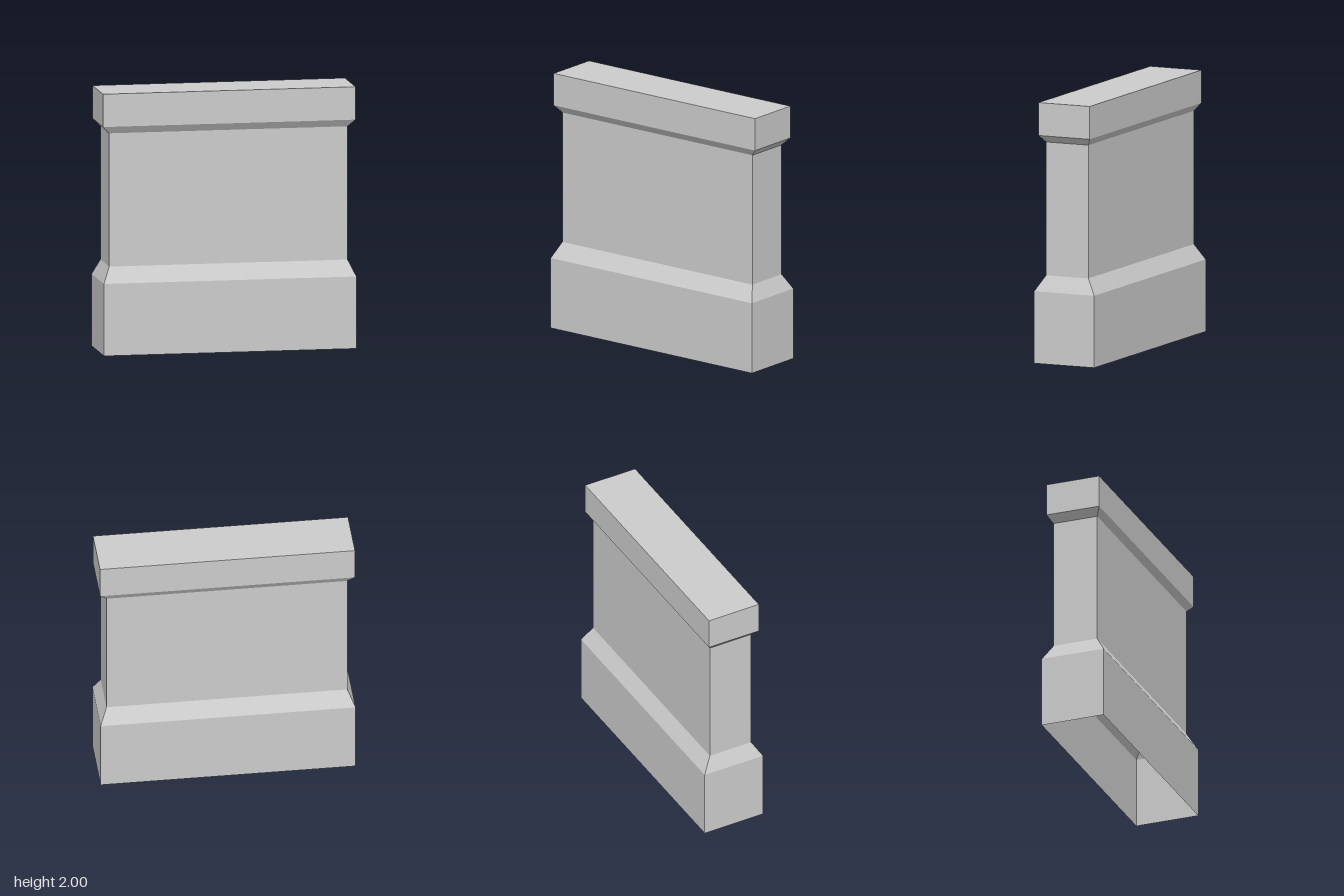
import * as THREE from 'three';

// Four-sided band between two rectangles: [y, halfWidth, halfDepth]
function band([y0, w0, d0], [y1, w1, d1]) {
  const corners = [[-1, 1], [1, 1], [1, -1], [-1, -1]];
  const pos = [];
  for (let i = 0; i < 4; i++) {
    const [ax, az] = corners[i];
    const [bx, bz] = corners[(i + 1) % 4];
    const a = [ax * w0, y0, az * d0], b = [bx * w0, y0, bz * d0];
    const c = [bx * w1, y1, bz * d1], d = [ax * w1, y1, az * d1];
    pos.push(...a, ...b, ...c, ...a, ...c, ...d);
  }
  const geometry = new THREE.BufferGeometry();
  geometry.setAttribute('position', new THREE.Float32BufferAttribute(pos, 3));
  geometry.computeVertexNormals();
  return geometry;
}

export function createModel() {
  const stone = new THREE.MeshStandardMaterial({ color: 0xcccccc, side: THREE.DoubleSide });
  stone.name = 'grey stone';
  const group = new THREE.Group();
  group.name = 'wallSection';
  const add = (name, geometry) => {
    const mesh = new THREE.Mesh(geometry, stone);
    mesh.name = name;
    group.add(mesh);
    return mesh;
  };

  // Outline of the wall from the ground up; the shell is open underneath
  const rings = [
    [0, 0.972, 0.252],
    [0.552, 0.972, 0.252],
    [0.672, 0.918, 0.178],
    [1.693, 0.918, 0.178],
    [1.748, 0.972, 0.215],
    [2, 0.972, 0.215],
  ];
  const names = ['plinth', 'plinthSlope', 'wallBody', 'copingUnderside', 'copingSides'];
  names.forEach((name, i) => add(name, band(rings[i], rings[i + 1])));

  // Flat top of the coping
  const top = add('copingTop', new THREE.PlaneGeometry(2 * 0.972, 2 * 0.215));
  top.rotation.x = -Math.PI / 2;
  top.position.y = 2;

  return group;
}
